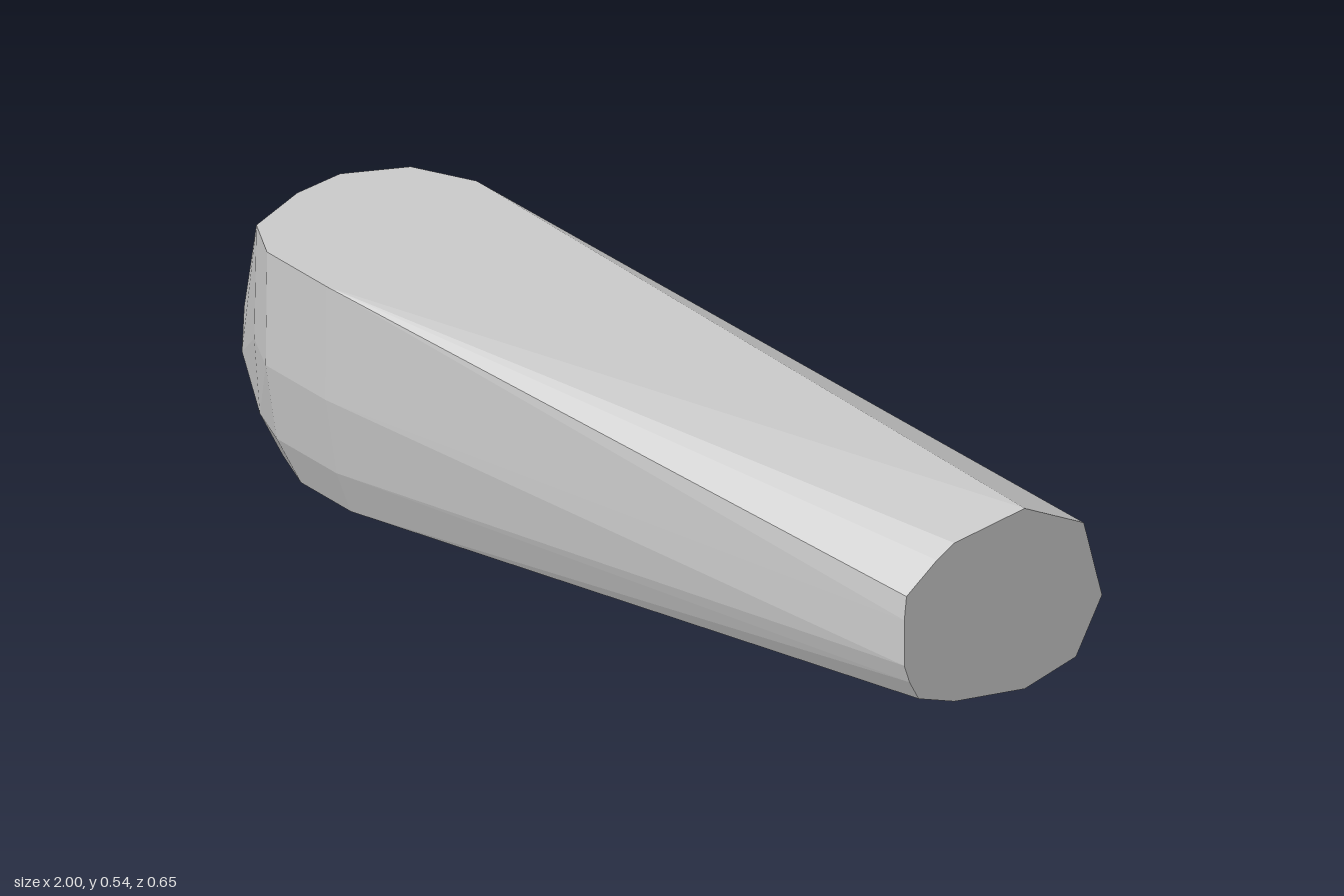
import * as THREE from 'three';
import { ConvexGeometry } from 'three/addons/geometries/ConvexGeometry.js';

// Places a [z, y] outline at a given x
const section = (x, outline) => outline.map(([z, y]) => new THREE.Vector3(x, y, z));
// Places an [x, z] outline at a given height
const level = (y, outline) => outline.map(([x, z]) => new THREE.Vector3(x, y, z));

export function createModel() {
  const group = new THREE.Group();
  group.name = 'facetedBody';

  const points = [
    // flat end face of the narrow tip
    ...section(1, [
      [0.135, 0.447], [0.14, 0.4], [0.14, 0.307], [0.128, 0.27], [0.107, 0.23],
      [0.025, 0.2], [-0.137, 0.177], [-0.255, 0.207], [-0.315, 0.315],
      [-0.273, 0.475], [-0.137, 0.545], [0.025, 0.523], [0.065, 0.5],
    ]),
    // lower end face at the wide end
    ...section(-1, [
      [-0.137, 0.35], [-0.273, 0.287], [-0.315, 0.16], [-0.26, 0.047], [-0.137, 0.014],
      [0.025, 0.022], [0.107, 0.07], [0.135, 0.16], [0.13, 0.25], [0.02, 0.33],
    ]),
    // flat top with the rounded wide end
    ...level(0.545, [
      [-0.68, -0.16], [-0.8, -0.1], [-0.855, 0.02], [-0.84, 0.13],
      [-0.78, 0.27], [-0.68, 0.322], [-0.5, 0.322],
    ]),
    // bulging front side
    ...level(0.315, [[-0.78, 0.275], [-0.68, 0.325], [-0.5, 0.325]]),
    ...level(0.158, [[-0.78, 0.262], [-0.68, 0.3], [-0.5, 0.3]]),
    ...level(0.07, [[-0.76, 0.225], [-0.65, 0.267], [-0.5, 0.267]]),
    // belly
    ...section(-0.55, [[0.18, 0.033], [0.02, 0.001], [-0.137, 0.005]]),
    ...section(0.38, [[-0.04, 0.075], [-0.137, 0.064], [-0.225, 0.072], [-0.31, 0.157]]),
    // back side
    ...section(0.75, [[-0.325, 0.315]]),
  ];

  const body = new THREE.Mesh(
    new ConvexGeometry(points),
    new THREE.MeshStandardMaterial({ color: 0xcccccc, flatShading: true }),
  );
  body.name = 'body';
  group.add(body);
  return group;
}
